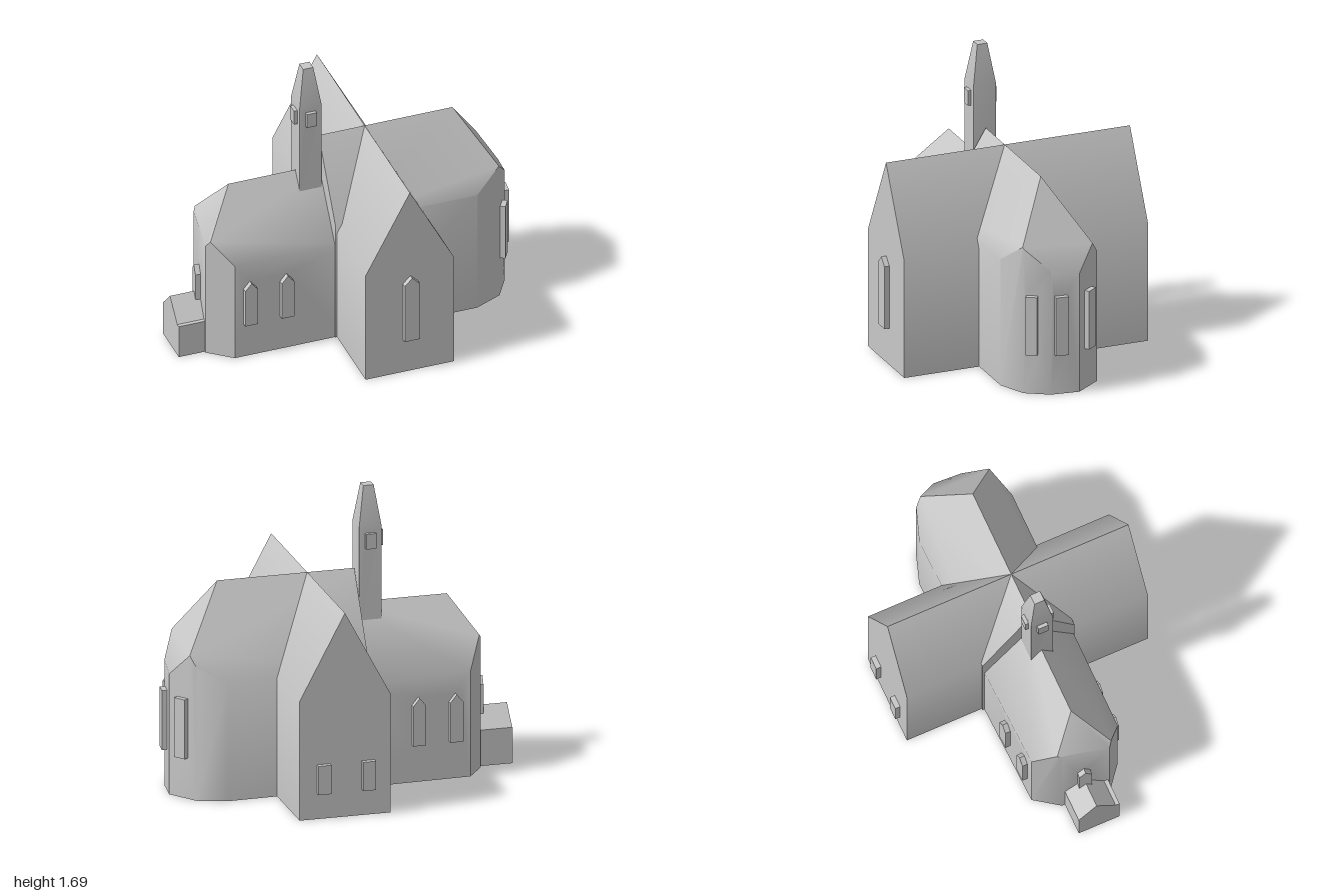
import * as THREE from 'three';
import { toCreasedNormals } from 'three/addons/utils/BufferGeometryUtils.js';

const stone = new THREE.MeshStandardMaterial({ color: 0xc8c8c8 });
stone.name = 'stone grey';

// roof planes as height = a*x + b*z + c, passing through height h at the given x or z
const alongX = (pos, h, m) => [m, 0, h - m * pos];
const alongZ = (pos, h, m) => [0, m, h - m * pos];
const heightAt = (p, [x, z]) => p[0] * x + p[1] * z + p[2];
const mix = (a, b, t) => [a[0] + (b[0] - a[0]) * t, a[1] + (b[1] - a[1]) * t];

// keep the part of a polygon where f >= 0
function clip(poly, f) {
  const out = [];
  poly.forEach((a, i) => {
    const b = poly[(i + 1) % poly.length], fa = f(a), fb = f(b);
    if (fa >= -1e-9) out.push(a);
    if ((fa > 1e-9 && fb < -1e-9) || (fa < -1e-9 && fb > 1e-9)) out.push(mix(a, b, fa / (fa - fb)));
  });
  return out;
}

// window outline, counter-clockwise, with a pointed head if peak > 0
function windowOutline(s, w, y0, y1, peak) {
  const pts = [[s - w / 2, y0], [s + w / 2, y0], [s + w / 2, y1 - peak]];
  if (peak) pts.push([s, y1]);
  pts.push([s - w / 2, y1 - peak]);
  return pts;
}

// walls on a footprint under the lowest of several roof planes, with recessed windows
function body(name, footprint, planes, windows = [], y0 = 0, depth = 0.03) {
  const pos = [];
  const fan = (pts) => {
    for (let i = 1; i < pts.length - 1; i++) pos.push(...pts[0], ...pts[i], ...pts[i + 1]);
  };
  const top = (p) => Math.min(...planes.map((q) => heightAt(q, p)));

  // floor and roof faces
  fan(footprint.map(([x, z]) => [x, y0, z]).reverse());
  planes.forEach((p) => {
    let poly = footprint;
    planes.forEach((q) => {
      if (q !== p) poly = clip(poly, (v) => heightAt(q, v) - heightAt(p, v));
    });
    if (poly.length > 2) fan(poly.map((v) => [v[0], heightAt(p, v), v[1]]));
  });

  // walls
  footprint.forEach((a, i) => {
    const b = footprint[(i + 1) % footprint.length];
    const len = Math.hypot(b[0] - a[0], b[1] - a[1]);
    const d = [(b[0] - a[0]) / len, (b[1] - a[1]) / len];
    const to3 = ([s, y], inset = 0) => [a[0] + d[0] * s + d[1] * inset, y, a[1] + d[1] * s - d[0] * inset];

    // the wall head breaks where two roof planes meet
    const breaks = [0, 1];
    planes.forEach((p, j) => planes.slice(j + 1).forEach((q) => {
      const fa = heightAt(p, a) - heightAt(q, a), fb = heightAt(p, b) - heightAt(q, b);
      if (fa * fb >= 0) return;
      const t = fa / (fa - fb), v = mix(a, b, t);
      if (t > 1e-3 && t < 0.999 && heightAt(p, v) < top(v) + 1e-6) breaks.push(t);
    }));
    breaks.sort((m, n) => n - m);
    const contour = [[0, y0], [len, y0], ...breaks.map((t) => [t * len, top(mix(a, b, t))])];

    const outlines = windows.filter((w) => w.edge === i).map((w) => {
      const s = (w.at[0] - a[0]) * d[0] + (w.at[1] - a[1]) * d[1];
      return windowOutline(s, w.w, w.y0, w.y1, w.peak || 0);
    });
    const v2 = (pts) => pts.map((p) => new THREE.Vector2(...p));
    const holes = outlines.map((o) => [...o].reverse());
    const all = [contour, ...holes].flat();
    THREE.ShapeUtils.triangulateShape(v2(contour), holes.map(v2)).forEach((f) => {
      f.forEach((k) => pos.push(...to3(all[k])));
    });

    // window reveals and panes
    outlines.forEach((o) => {
      fan(o.map((p) => to3(p, -depth)));
      o.forEach((p, k) => {
        const q = o[(k + 1) % o.length];
        fan([to3(p), to3(q), to3(q, -depth), to3(p, -depth)]);
      });
    });
  });

  const geometry = new THREE.BufferGeometry();
  geometry.setAttribute('position', new THREE.Float32BufferAttribute(pos, 3));
  const mesh = new THREE.Mesh(toCreasedNormals(geometry, THREE.MathUtils.degToRad(38)), stone);
  mesh.name = name;
  return mesh;
}

const rect = (x0, x1, z0, z1) => [[x0, z1], [x1, z1], [x1, z0], [x0, z0]];

export function createModel() {
  const model = new THREE.Group();
  model.name = 'church';

  // low nave with a hipped, chamfered west end
  const lancet = { w: 0.075, y0: 0.22, y1: 0.5, peak: 0.045 };
  model.add(body('nave',
    [[-0.845, 0.17], [-0.71, 0.28], [-0.05, 0.28], [-0.05, -0.27], [-0.71, -0.25], [-0.81, -0.11]],
    [alongZ(0.02, 1, -1.46), alongZ(0.02, 1, 1.4), alongX(-0.65, 1, 1.44)],
    [
      { edge: 1, at: [-0.62, 0.28], ...lancet },
      { edge: 1, at: [-0.402, 0.28], ...lancet },
      { edge: 3, at: [-0.62, -0.26], ...lancet },
      { edge: 3, at: [-0.402, -0.26], ...lancet },
      { edge: 5, at: [-0.83, 0.02], ...lancet },
    ]));

  // gabled transept
  const small = { edge: 2, w: 0.075, y0: 0.15, y1: 0.32 };
  model.add(body('transept', rect(-0.1, 0.43, -0.74, 0.74),
    [alongX(0.165, 1.2, 1.88), alongX(0.165, 1.2, -1.88)],
    [
      { edge: 0, at: [0.168, 0.74], w: 0.09, y0: 0.22, y1: 0.64, peak: 0.045 },
      { ...small, at: [0.29, -0.74] },
      { ...small, at: [0.03, -0.74] },
    ]));

  // tall choir with a many-sided apse
  const tall = { y0: 0.24, y1: 0.59 };
  model.add(body('choir',
    [[-0.11, 0.285], [0.74, 0.285], [0.9, 0.213], [0.98, 0.08], [1, -0.085], [0.885, -0.24], [0.72, -0.295], [-0.11, -0.28]],
    [alongZ(0.02, 1.2, -1.66), alongZ(0.02, 1.2, 1.6), alongX(0.69, 1.2, -1.58)],
    [
      { edge: 2, at: [0.938, 0.178], w: 0.065, ...tall },
      { edge: 3, at: [0.988, 0.022], w: 0.075, ...tall },
      { edge: 4, at: [0.943, -0.16], w: 0.075, ...tall },
    ]));

  // bell tower with a tapered cap
  const bell = { w: 0.06, y0: 1.33, y1: 1.42 };
  model.add(body('tower', rect(-0.25, -0.12, -0.045, 0.09),
    [[0, 0, 1.69], alongX(-0.25, 1.46, 6.57), alongX(-0.12, 1.46, -6.57), alongZ(-0.045, 1.46, 6.2), alongZ(0.09, 1.46, -6.2)],
    [
      { edge: 0, at: [-0.185, 0.09], ...bell },
      { edge: 2, at: [-0.185, -0.045], ...bell },
      { edge: 3, at: [-0.25, 0.022], ...bell },
    ], 0.8, 0.02));

  // west porch with a low ledge on its front side
  model.add(body('porch', rect(-1, -0.8, -0.09, 0.137),
    [alongZ(0.02, 0.325, 1.03), alongZ(0.02, 0.325, -1.03)]));
  model.add(body('porchLedge', rect(-1, -0.8, 0.12, 0.16), [[0, 0, 0.205]]));

  return model;
}
